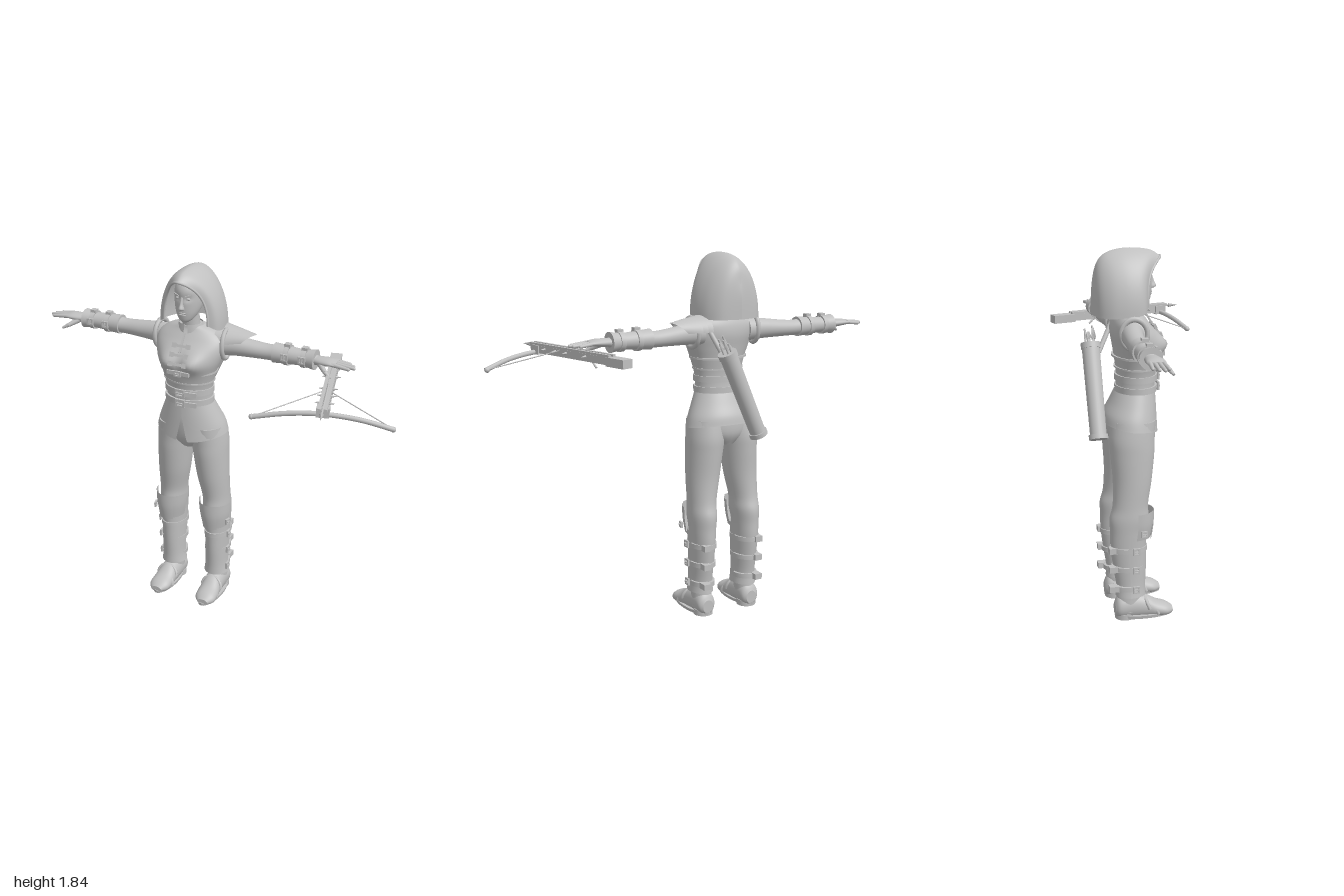
import * as THREE from 'three';

const grey = new THREE.MeshStandardMaterial({ color: 0xc0c0c0, side: THREE.DoubleSide });
grey.name = 'plain grey';
const V = (x, y, z) => new THREE.Vector3(x, y, z);
const { lerp } = THREE.MathUtils;

function add(parent, name, geo, pos = [0, 0, 0], rot = [0, 0, 0]) {
  const m = new THREE.Mesh(geo, grey);
  m.name = name;
  m.position.set(...pos);
  m.rotation.set(...rot);
  parent.add(m);
  return m;
}

// Smooth grid surface from f(u, v); wrap joins the u ends
function sheet(nu, nv, f, wrap = false) {
  const p = [], idx = [], cols = wrap ? nu : nu + 1;
  for (let j = 0; j <= nv; j++) for (let i = 0; i < cols; i++) p.push(...f(i / nu, j / nv, j));
  for (let j = 0; j < nv; j++) for (let i = 0; i < nu; i++) {
    const a = j * cols + i, b = j * cols + (i + 1) % cols, c = a + cols, d = b + cols;
    idx.push(a, b, d, a, d, c);
  }
  const g = new THREE.BufferGeometry();
  g.setAttribute('position', new THREE.Float32BufferAttribute(p, 3));
  g.setIndex(idx);
  g.computeVertexNormals();
  return g;
}

// Catmull-Rom interpolation of whole rows
function rowAt(rows, v) {
  const s = v * (rows.length - 1), i = Math.min(Math.floor(s), rows.length - 2), t = s - i;
  const at = k => rows[Math.max(0, Math.min(rows.length - 1, k))];
  const [a, b, c, d] = [at(i - 1), at(i), at(i + 1), at(i + 2)];
  return b.map((_, k) => 0.5 * (2 * b[k] + (c[k] - a[k]) * t + (2 * a[k] - 5 * b[k] + 4 * c[k] - d[k]) * t * t
    + (3 * b[k] - a[k] - 3 * c[k] + d[k]) * t * t * t));
}

// Elliptic loft with capped ends; row = [station, centreA, centreB, radiusA, radiusB]
function loft(rows, { axis = 'y', n = 32, sub = 5, shape = p => p } = {}) {
  const seg = (rows.length - 1) * sub, nv = seg + 4;
  return sheet(n, nv, (u, _, j) => {
    const [t, a, b, ra, rb] = rowAt(rows, Math.max(0, Math.min(seg, j - 2)) / seg);
    const k = j === 0 || j === nv ? 0 : 1, q = u * Math.PI * 2;
    const s = k * Math.sin(q), c = k * Math.cos(q);
    if (axis === 'y') return shape([a + ra * s, t, b + rb * c]);
    if (axis === 'x') return shape([t, a + ra * c, b + rb * s]);
    return shape([a + ra * c, b + rb * s, t]);
  }, true);
}

// Open curved plate around a vertical axis, arc measured from the front
const plate = (rows, arc, mid = 0) => sheet(24, 12, (u, v) => {
  const [y, cx, cz, rx, rz] = rowAt(rows, v), q = mid + lerp(-arc, arc, u);
  return [cx + rx * Math.sin(q), y, cz + rz * Math.cos(q)];
});

function rod(parent, name, a, b, r1, r2 = r1, n = 12) {
  const d = b.clone().sub(a);
  const m = add(parent, name, new THREE.CylinderGeometry(r2, r1, d.length(), n), a.clone().lerp(b, 0.5).toArray());
  m.quaternion.setFromUnitVectors(V(0, 1, 0), d.normalize());
  return m;
}

// Rectangular buckle frame with a pin
function buckle(parent, pos, rot, w = 0.045, h = 0.035) {
  const g = new THREE.Group();
  g.name = 'buckle';
  const s = new THREE.Shape([[-w, -h], [w, -h], [w, h], [-w, h]].map(([x, y]) => new THREE.Vector2(x / 2, y / 2)));
  s.holes.push(new THREE.Path([[-w, -h], [-w, h], [w, h], [w, -h]].map(([x, y]) => new THREE.Vector2(x * 0.3, y * 0.28))));
  add(g, 'buckleFrame', new THREE.ExtrudeGeometry(s, { depth: 0.01, bevelEnabled: false }));
  add(g, 'bucklePin', new THREE.BoxGeometry(w * 0.8, 0.006, 0.008), [0, 0, 0.01]);
  g.position.set(...pos);
  g.rotation.set(...rot);
  parent.add(g);
}

function buildHead(f) {
  add(f, 'neck', loft([[1.46, 0, -0.1, 0.07, 0.055], [1.53, 0, -0.095, 0.047, 0.045], [1.63, 0, -0.085, 0.043, 0.045]]));
  add(f, 'collar', plate([[1.51, 0, -0.095, 0.075, 0.066], [1.56, 0, -0.09, 0.06, 0.056]], Math.PI * 0.95, Math.PI));
  add(f, 'head', loft([[1.58, 0, -0.03, 0.018, 0.022], [1.595, 0, -0.042, 0.038, 0.042], [1.625, 0, -0.06, 0.056, 0.066],
    [1.66, 0, -0.072, 0.066, 0.08], [1.7, 0, -0.075, 0.069, 0.083], [1.75, 0, -0.077, 0.066, 0.082],
    [1.79, 0, -0.085, 0.048, 0.06], [1.812, 0, -0.09, 0.012, 0.015]], {
    // eye sockets pressed into the face
    shape: ([x, y, z]) => [x, y, z - (z > -0.06 ? 0.009 * Math.exp(-(((Math.abs(x) - 0.028) / 0.016) ** 2) - (((y - 1.705) / 0.013) ** 2)) : 0)],
  }));
  add(f, 'nose', loft([[1.648, 0, 0.006, 0.013, 0.012], [1.658, 0, 0.012, 0.014, 0.019], [1.68, 0, 0.008, 0.008, 0.014],
    [1.712, 0, 0.003, 0.007, 0.008]], { n: 16 }));
  for (const y of [1.622, 1.631]) add(f, 'lip', new THREE.SphereGeometry(1, 16, 8), [0, y, 0.002]).scale.set(0.02, 0.005, 0.008);
  for (const s of [-1, 1]) {
    add(f, 'eye', new THREE.SphereGeometry(1, 16, 10), [s * 0.028, 1.703, -0.008]).scale.set(0.012, 0.007, 0.008);
    add(f, 'eyebrow', new THREE.BoxGeometry(0.032, 0.005, 0.006), [s * 0.03, 1.721, 0], [0, s * 0.35, s * 0.2]);
  }
  // Hood: arches from the face opening to the back; [zTop, zBottom, top, bottom, halfWidth]
  const arches = [[0.05, -0.035, 1.8, 1.57, 0.12], [0.0, -0.055, 1.83, 1.55, 0.152], [-0.08, -0.09, 1.842, 1.54, 0.166],
    [-0.16, -0.15, 1.838, 1.535, 0.165], [-0.225, -0.215, 1.815, 1.53, 0.145], [-0.26, -0.265, 1.77, 1.53, 0.095], [-0.275, -0.288, 1.7, 1.53, 0]];
  const arch = (u, row, shrink = 1) => {
    const [zt, zb, top, bot, w] = row, q = u * Math.PI, s = Math.sin(q), c = Math.cos(q);
    return [Math.sign(c) * Math.abs(c) ** 1.2 * w * shrink, lerp(bot, top, s ** 0.95), lerp(zb, zt, s ** 3.5)];
  };
  add(f, 'hood', sheet(48, 30, (u, v) => arch(u, rowAt(arches, v))));
  add(f, 'hoodEdge', new THREE.TubeGeometry(new THREE.CatmullRomCurve3(
    Array.from({ length: 25 }, (_, i) => V(...arch(i / 24, arches[0])))), 60, 0.006, 8));
}

function buildTorso(f) {
  add(f, 'vest', loft([[1.08, 0, -0.09, 0.145, 0.105], [1.16, 0, -0.075, 0.122, 0.095], [1.24, 0, -0.07, 0.125, 0.096],
    [1.32, 0, -0.067, 0.146, 0.108], [1.38, 0, -0.07, 0.168, 0.114], [1.44, 0, -0.085, 0.183, 0.108],
    [1.49, 0, -0.1, 0.175, 0.088], [1.53, 0, -0.105, 0.125, 0.066], [1.55, 0, -0.1, 0.07, 0.055]], {
    n: 56, sub: 6,
    shape: ([x, y, z]) => [x, y, z + (z > -0.07 ? 0.036 * Math.exp(-(((Math.abs(x) - 0.07) / 0.055) ** 2) - (((y - 1.385) / 0.05) ** 2)) : 0)],
  }));
  // Corset seams and belts
  for (const [y, rx, rz, h] of [[1.325, 0.152, 0.116, 0.01], [1.27, 0.135, 0.105, 0.008], [1.22, 0.13, 0.104, 0.03], [1.165, 0.129, 0.102, 0.03]])
    add(f, 'waistBelt', loft([[y - h / 2, 0, -0.071, rx, rz], [y + h / 2, 0, -0.071, rx, rz]], { n: 48, sub: 1 }));
  for (const y of [1.22, 1.165]) {
    buckle(f, [0.0, y, 0.035], [0, 0, 0], 0.05, 0.042);
    add(f, 'beltEnd', new THREE.BoxGeometry(0.07, 0.024, 0.01), [0.05, y - 0.004, 0.03], [0, 0.25, -0.06]);
  }
  add(f, 'bustStrap', new THREE.BoxGeometry(0.12, 0.02, 0.012), [0, 1.335, 0.057]);
  buckle(f, [0, 1.335, 0.06], [0, 0, 0], 0.035, 0.03);
  // Chest toggles
  [1.385, 1.425, 1.465].forEach((y, i) => {
    const z = [0.068, 0.046, 0.018][i];
    add(f, 'chestClasp', new THREE.BoxGeometry(0.085, 0.013, 0.012), [0, y, z], [-0.4, 0, 0]);
    for (const s of [-1, 1]) add(f, 'claspStud', new THREE.BoxGeometry(0.02, 0.024, 0.014), [s * 0.038, y, z], [-0.4, 0, 0]);
  });
  add(f, 'frontSeam', new THREE.BoxGeometry(0.01, 0.1, 0.008), [0, 1.48, 0.008], [-0.55, 0, 0]);
  // Skirt split at the front, hem longer there
  const rows = [[0.98, 0, -0.103, 0.192, 0.136], [1.03, 0, -0.1, 0.178, 0.13], [1.09, 0, -0.088, 0.152, 0.115], [1.15, 0, -0.077, 0.126, 0.1]];
  add(f, 'skirt', sheet(64, 16, (u, v) => {
    const [y, cx, cz, rx, rz] = rowAt(rows, v), q = lerp(0.17, Math.PI * 2 - 0.17, u) + (0.5 - u) * -0.34 * Math.min(1, v * 1.3);
    const drop = (1 - v) * (0.032 * Math.max(0, Math.cos(q)) ** 2 - 0.02 * Math.max(0, -Math.cos(q)));
    return [cx + rx * Math.sin(q), y - drop, cz + rz * Math.cos(q)];
  }));
  add(f, 'hips', loft([[0.89, 0, -0.11, 0.06, 0.08], [0.95, 0, -0.108, 0.15, 0.112], [1.04, 0, -0.1, 0.165, 0.118], [1.1, 0, -0.088, 0.14, 0.104]]));
}

function buildLeg(g) {
  const leg = [[0.12, 0.13, -0.13, 0.06, 0.072], [0.18, 0.13, -0.13, 0.054, 0.07], [0.28, 0.13, -0.135, 0.056, 0.08],
    [0.38, 0.13, -0.14, 0.06, 0.087], [0.46, 0.13, -0.14, 0.064, 0.088], [0.53, 0.128, -0.132, 0.07, 0.098], [0.6, 0.125, -0.125, 0.071, 0.088],
    [0.72, 0.113, -0.113, 0.083, 0.096], [0.85, 0.103, -0.11, 0.091, 0.108], [0.93, 0.096, -0.11, 0.095, 0.112], [1.02, 0.085, -0.1, 0.095, 0.11]];
  add(g, 'trouserLeg', loft(leg));
  add(g, 'shinGuard', plate([[0.125, 0.13, -0.13, 0.069, 0.08], [0.18, 0.13, -0.13, 0.062, 0.078], [0.28, 0.13, -0.135, 0.063, 0.087],
    [0.38, 0.13, -0.14, 0.067, 0.092], [0.45, 0.13, -0.14, 0.071, 0.095]], 1.65));
  // Knee guard: side wings and a raised front panel
  const knee = [[0.43, 0.13, -0.115, 0.07, 0.088], [0.5, 0.129, -0.11, 0.082, 0.094], [0.57, 0.127, -0.11, 0.088, 0.095]];
  add(g, 'kneeGuard', plate(knee, 1.5));
  add(g, 'kneePanel', plate(knee.map(([y, x, z, a, b], i) => [y - 0.005 + i * 0.004, x, z, a + 0.004, b + 0.006]), 0.55));
  buckle(g, [0.211, 0.47, -0.075], [0, 1.35, 0], 0.03, 0.03);
  for (const y of [0.17, 0.275, 0.375]) {
    const rx = 0.064 + (y - 0.17) * 0.025, rz = 0.078 + (y - 0.17) * 0.08;
    add(g, 'legStrap', loft([[y - 0.012, 0.13, -0.136, rx, rz], [y + 0.012, 0.13, -0.136, rx, rz]], { sub: 1 }));
    buckle(g, [0.13 + rx, y, -0.11], [0, 1.57, 0], 0.032, 0.036);
    add(g, 'strapLoop', new THREE.BoxGeometry(0.04, 0.03, 0.05), [0.155, y, -0.215]);
  }
  // Boot
  add(g, 'ankle', loft([[0.04, 0.133, -0.14, 0.05, 0.062], [0.13, 0.131, -0.132, 0.05, 0.062]]));
  add(g, 'boot', loft([[-0.208, 0.133, 0.05, 0.03, 0.035], [-0.185, 0.133, 0.06, 0.05, 0.06], [-0.12, 0.133, 0.062, 0.052, 0.068], [-0.05, 0.135, 0.053, 0.053, 0.06],
    [0.0, 0.138, 0.04, 0.057, 0.044], [0.05, 0.14, 0.032, 0.055, 0.034], [0.084, 0.141, 0.028, 0.03, 0.016]],
  { axis: 'z', shape: ([x, y, z]) => [x, Math.max(0.014, y), z] }));
  add(g, 'sole', loft([[0.006, 0.137, -0.06, 0.056, 0.148], [0.022, 0.137, -0.06, 0.059, 0.15]], { sub: 1 }));
  add(g, 'heel', new THREE.CylinderGeometry(0.05, 0.05, 0.03, 24), [0.133, 0.015, -0.157]);
  for (const [z, y, h] of [[-0.04, 0.085, 0.055], [0.005, 0.055, 0.054]])
    add(g, 'bootStrap', new THREE.TorusGeometry(h, 0.009, 8, 20, Math.PI), [0.136, y - 0.03, z], [-0.35, 0, 0]);
}

function buildArm(g) {
  add(g, 'arm', loft([[0.13, 1.455, -0.115, 0.06, 0.06], [0.22, 1.455, -0.13, 0.051, 0.051], [0.32, 1.45, -0.14, 0.043, 0.046],
    [0.4, 1.447, -0.145, 0.039, 0.042], [0.48, 1.45, -0.145, 0.04, 0.043], [0.6, 1.45, -0.145, 0.03, 0.036], [0.66, 1.45, -0.145, 0.02, 0.03]], { axis: 'x' }));
  add(g, 'armhole', new THREE.TorusGeometry(0.062, 0.012, 8, 28), [0.18, 1.46, -0.115], [0, Math.PI / 2 + 0.1, 0]).scale.set(1, 1.15, 1);
  add(g, 'bracer', loft([[0.43, 1.45, -0.145, 0.05, 0.051], [0.48, 1.45, -0.145, 0.046, 0.048], [0.57, 1.45, -0.145, 0.04, 0.044],
    [0.61, 1.45, -0.145, 0.044, 0.047], [0.645, 1.45, -0.145, 0.05, 0.053]], { axis: 'x' }));
  for (const [x, r] of [[0.5, 0.051], [0.59, 0.048]]) {
    add(g, 'bracerStrap', loft([[x - 0.012, 1.45, -0.145, r, r + 0.003], [x + 0.012, 1.45, -0.145, r, r + 0.003]], { axis: 'x', sub: 1 }));
    buckle(g, [x, 1.455, -0.145 + r], [0, 0, Math.PI / 2], 0.035, 0.036);
    add(g, 'strapKnob', new THREE.BoxGeometry(0.03, 0.02, 0.03), [x, 1.45 + r, -0.14]);
  }
  // Hand
  add(g, 'palm', loft([[0.63, 1.45, -0.145, 0.02, 0.028], [0.68, 1.452, -0.142, 0.02, 0.038], [0.72, 1.454, -0.142, 0.017, 0.043], [0.755, 1.453, -0.143, 0.01, 0.04]], { axis: 'x' }));
  [[-0.176, 0.815], [-0.154, 0.84], [-0.131, 0.85], [-0.109, 0.83]].forEach(([z, end]) => {
    rod(g, 'finger', V(0.735, 1.454, -0.143 + (z + 0.143) * 0.85), V(end - 0.008, 1.446, z), 0.011, 0.008);
    add(g, 'fingertip', new THREE.SphereGeometry(0.008, 12, 8), [end - 0.008, 1.446, z]);
  });
  rod(g, 'thumb', V(0.67, 1.445, -0.125), V(0.715, 1.42, -0.085), 0.015, 0.011);
  rod(g, 'thumbTip', V(0.715, 1.42, -0.085), V(0.748, 1.402, -0.07), 0.011, 0.006);
}

// Layered pointed shoulder guard
function buildShoulderGuard(f) {
  for (let k = 0; k < 3; k++) add(f, 'shoulderGuard', sheet(24, 10, (u, v) => {
    const q = lerp(-1.45, 1.45, u), x = lerp(0.135 + k * 0.025, 0.27 + k * 0.03 - 0.075 * Math.abs(q) / 1.45, v);
    const r = lerp(0.092, 0.07, v) - k * 0.006;
    return [x, 1.462 + r * Math.cos(q), -0.155 + r * 1.05 * Math.sin(q)];
  }));
}

function buildQuiver(f) {
  const a = V(-0.115, 0.945, -0.278), b = V(0.075, 1.37, -0.278), at = t => a.clone().lerp(b, t);
  rod(f, 'quiver', a, b, 0.04, 0.044, 28);
  rod(f, 'quiverBase', at(-0.01), at(0.04), 0.047, 0.047, 28);
  rod(f, 'quiverRim', at(0.95), at(1.01), 0.048, 0.048, 28);
  for (let i = 0; i < 5; i++) {
    const o = V(Math.cos(i * 1.257) * 0.022, 0, Math.sin(i * 1.257) * 0.022);
    rod(f, 'arrow', at(0.9).add(o), at(1.12 + (i % 3) * 0.04).add(o), 0.005, 0.005, 8);
    rod(f, 'arrowFletching', at(1.06).add(o), at(1.12 + (i % 3) * 0.04).add(o), 0.012, 0.004, 3);
  }
  rod(f, 'quiverStrap', V(0.06, 1.33, -0.24), V(0.12, 1.5, -0.15), 0.012);
}

function buildCrossbow(root) {
  const g = new THREE.Group();
  g.name = 'crossbow';
  g.position.set(0.607, 1.385, -0.04);
  g.rotation.y = 0.261;
  add(g, 'stock', new THREE.BoxGeometry(0.046, 0.036, 0.66), [0, 0, 0]);
  add(g, 'stockEnd', new THREE.BoxGeometry(0.056, 0.042, 0.12), [0, -0.002, -0.285]);
  for (const s of [-1, 1]) {
    add(g, 'rail', new THREE.BoxGeometry(0.016, 0.014, 0.58), [s * 0.014, 0.022, 0.05]);
    for (const z of [-0.08, 0.06, 0.14, 0.22]) add(g, 'sideSpike', new THREE.ConeGeometry(0.008, 0.03, 8), [s * 0.034, 0.005, z], [0, 0, -s * Math.PI / 2]);
  }
  add(g, 'prodMount', new THREE.BoxGeometry(0.06, 0.045, 0.05), [0, -0.003, 0.29]);
  rod(g, 'bolt', V(0, 0.024, 0.05), V(0, 0.014, 0.37), 0.005);
  rod(g, 'boltHead', V(0, 0.014, 0.36), V(0, 0.012, 0.415), 0.011, 0.001, 4);
  rod(g, 'trigger', V(0, -0.015, -0.1), V(0, -0.045, -0.13), 0.005);
  root.add(g);
  const tips = [V(0.37, 1.328, 0.33), V(0.995, 1.318, 0.155)];
  add(root, 'bowLimb', new THREE.TubeGeometry(new THREE.CatmullRomCurve3([tips[0], V(0.53, 1.36, 0.288), V(0.685, 1.37, 0.245), V(0.85, 1.355, 0.2), tips[1]]), 40, 0.012, 10));
  for (const t of tips) {
    add(root, 'limbTip', new THREE.SphereGeometry(0.013, 12, 8), [Math.min(t.x, 0.987), t.y, t.z]);
    rod(root, 'bowString', t, V(0.63, 1.402, 0.055), 0.0025, 0.0025, 6);
  }
}

export function createModel() {
  const root = new THREE.Group();
  root.name = 'hoodedArcher';
  const f = new THREE.Group();
  f.name = 'figure';
  f.position.x = -0.15;
  root.add(f);
  buildHead(f);
  buildTorso(f);
  for (const s of [1, -1]) {
    const g = new THREE.Group();
    g.name = s > 0 ? 'leftLimbs' : 'rightLimbs';
    g.scale.x = s;
    buildLeg(g);
    buildArm(g);
    f.add(g);
  }
  buildShoulderGuard(f);
  buildQuiver(f);
  buildCrossbow(root);
  return root;
}
